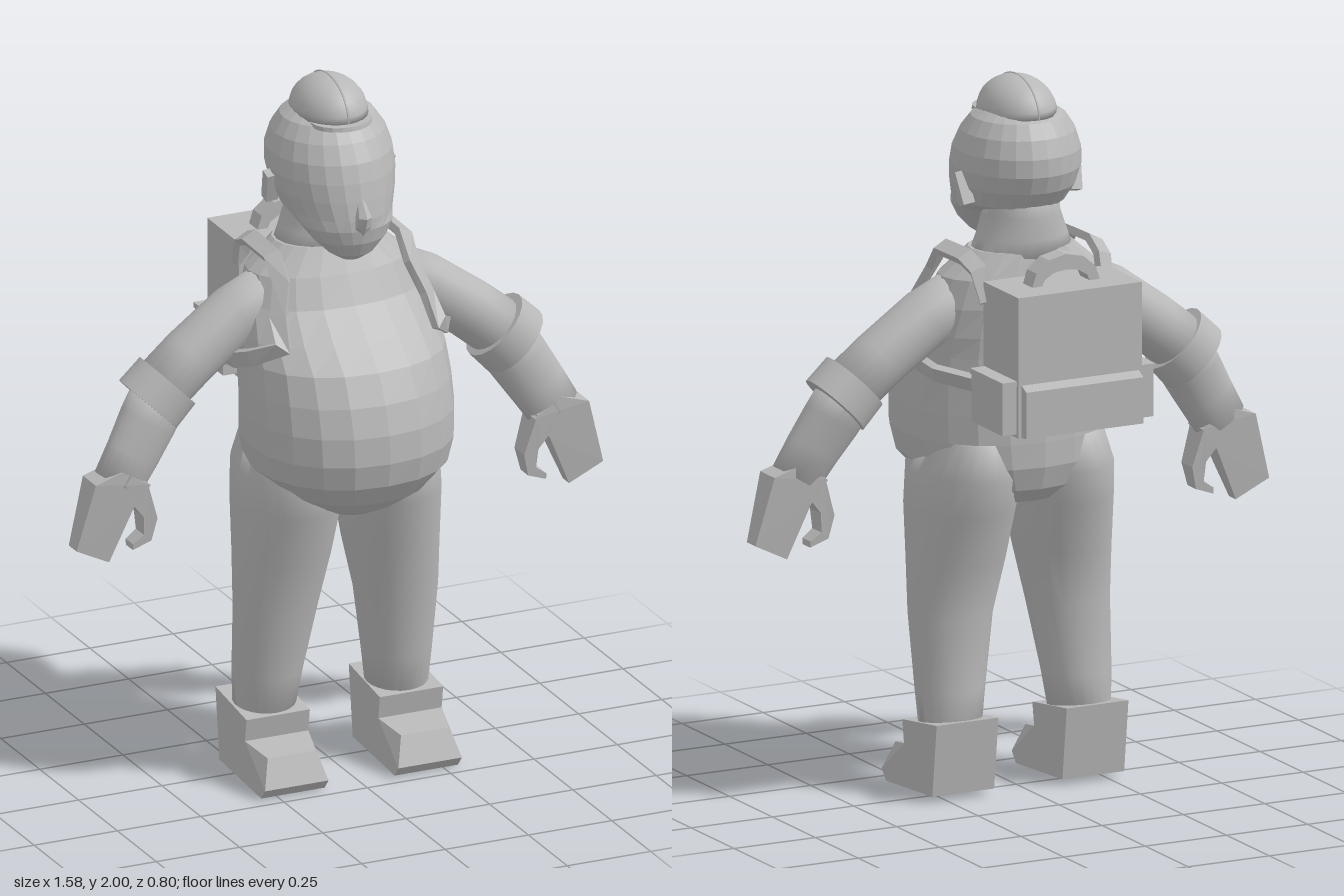
import * as THREE from 'three';

const V = (x, y, z) => new THREE.Vector3(x, y, z);

// Skin between rings of points, with closed ends
function loft(rings, smooth = false) {
  const n = rings[0].length, pos = [], idx = [];
  rings.forEach(r => r.forEach(p => pos.push(p.x, p.y, p.z)));
  for (let r = 0; r < rings.length - 1; r++) {
    for (let i = 0; i < n; i++) {
      const a = r * n + i, b = r * n + (i + 1) % n;
      idx.push(a, a + n, b, b, a + n, b + n);
    }
  }
  const last = (rings.length - 1) * n;
  for (let i = 1; i < n - 1; i++) {
    idx.push(0, i, i + 1, last, last + i + 1, last + i);
  }
  let g = new THREE.BufferGeometry();
  g.setAttribute('position', new THREE.Float32BufferAttribute(pos, 3));
  g.setIndex(idx);
  if (smooth) g.computeVertexNormals();
  g = g.toNonIndexed();
  if (!smooth) g.computeVertexNormals();
  return g;
}

// Stack of oval rings: each row is [y, half width, front z, back z, centre x]
function stack(rows, sides, power = 2, smooth = false) {
  const bend = c => Math.sign(c) * Math.pow(Math.abs(c), 2 / power);
  return loft(rows.map(([y, w, zf, zb, cx = 0]) => Array.from({ length: sides }, (_, i) => {
    const t = (i / sides) * Math.PI * 2;
    return V(cx + w * bend(Math.cos(t)), y, (zf + zb) / 2 + (zf - zb) / 2 * bend(Math.sin(t)));
  })), smooth);
}

// Tapered limb along a path in the xy plane: rows are [x, y, z, in-plane radius, z radius]
function limb(rows, sides) {
  return loft(rows.map(([x, y, z, r, rz], k) => {
    const a = rows[Math.max(0, k - 1)], b = rows[Math.min(rows.length - 1, k + 1)];
    const u = V(b[0] - a[0], b[1] - a[1], 0).normalize().cross(V(0, 0, 1));
    return Array.from({ length: sides }, (_, i) => {
      const t = (i / sides) * Math.PI * 2;
      return V(x, y, z).addScaledVector(u, r * Math.cos(t)).add(V(0, 0, rz * Math.sin(t)));
    });
  }), true);
}

// Flat strap that follows a path and faces away from a centre
function ribbon(points, centre, width, thick) {
  return loft(points.map((p, k) => {
    const d = points[Math.min(points.length - 1, k + 1)].clone().sub(points[Math.max(0, k - 1)]).normalize();
    const out = p.clone().sub(centre);
    out.addScaledVector(d, -out.dot(d)).normalize();
    const side = d.clone().cross(out);
    return [[1, 1], [-1, 1], [-1, -1], [1, -1]].map(([s, o]) =>
      p.clone().addScaledVector(side, s * width / 2).addScaledVector(out, o * thick / 2));
  }));
}

function extrude(points, depth) {
  const shape = new THREE.Shape(points.map(p => new THREE.Vector2(p[0], p[1])));
  return new THREE.ExtrudeGeometry(shape, { depth, bevelEnabled: false });
}

function reshape(g, rule) {
  const p = g.attributes.position, v = V(0, 0, 0);
  for (let i = 0; i < p.count; i++) {
    rule(v.fromBufferAttribute(p, i));
    p.setXYZ(i, v.x, v.y, v.z);
  }
  g.computeVertexNormals();
  return g;
}

// Copy to the other side, with the corner order turned round
function mirrored(geometry) {
  const g = geometry.index ? geometry.toNonIndexed() : geometry.clone();
  g.scale(-1, 1, 1);
  for (const at of Object.values(g.attributes)) {
    const s = at.itemSize, a = at.array;
    for (let i = 0; i < at.count; i += 3) {
      for (let k = 0; k < s; k++) {
        const j = (i + 1) * s + k;
        [a[j], a[j + s]] = [a[j + s], a[j]];
      }
    }
  }
  return g;
}

export function createModel() {
  const model = new THREE.Group();
  model.name = 'hiker';
  const grey = new THREE.MeshStandardMaterial({ color: 0xb8b8b8 });
  grey.name = 'plain grey';
  const add = (name, g) => {
    const m = new THREE.Mesh(g, grey);
    m.name = name;
    model.add(m);
  };
  const pair = (name, g) => {
    add('left' + name, g);
    add('right' + name, mirrored(g));
  };
  const box = (w, h, d, x, y, z) => new THREE.BoxGeometry(w, h, d).translate(x, y, z);

  // Torso with a big belly
  add('torso', stack([
    [0.79, 0.08, 0.22, 0.02], [0.82, 0.145, 0.28, -0.1], [0.865, 0.215, 0.34, -0.15],
    [0.93, 0.275, 0.385, -0.17], [1.0, 0.29, 0.4, -0.17], [1.08, 0.292, 0.393, -0.165],
    [1.16, 0.29, 0.367, -0.16], [1.24, 0.285, 0.325, -0.155], [1.3, 0.28, 0.255, -0.155],
    [1.38, 0.262, 0.168, -0.155], [1.46, 0.235, 0.125, -0.15], [1.53, 0.15, 0.085, -0.135]
  ], 20, 2.2));

  // Neck and head
  add('neck', stack([[1.5, 0.155, 0.09, -0.14], [1.56, 0.13, 0.08, -0.14],
    [1.62, 0.108, 0.08, -0.138], [1.7, 0.1, 0.08, -0.13]], 20, 2, true));
  add('head', stack([
    [1.518, 0.03, 0.17, 0.115], [1.54, 0.065, 0.2, 0.08], [1.58, 0.105, 0.22, 0.04],
    [1.62, 0.133, 0.228, -0.02], [1.65, 0.148, 0.227, -0.13], [1.7, 0.166, 0.216, -0.172],
    [1.75, 0.175, 0.203, -0.19], [1.8, 0.173, 0.185, -0.188], [1.85, 0.157, 0.155, -0.17],
    [1.89, 0.13, 0.12, -0.142], [1.92, 0.085, 0.06, -0.09], [1.935, 0.03, 0.02, -0.03]
  ], 24));
  add('nose', stack([[1.6, 0.02, 0.222, 0.16], [1.63, 0.032, 0.24, 0.16],
    [1.662, 0.026, 0.251, 0.16], [1.715, 0.012, 0.21, 0.16]], 8));
  pair('Ear', new THREE.BoxGeometry(0.035, 0.092, 0.032)
    .rotateX(0.35).rotateZ(-0.12).translate(0.17, 1.7, -0.01));

  // Cap with a short brim and a centre seam
  add('cap', stack(Array.from({ length: 9 }, (_, i) => {
    const t = i / 8 * Math.PI * 0.49, c = Math.cos(t);
    return [1.897 + 0.1 * Math.sin(t), 0.104 * c, 0.13 * c, -0.134 * c];
  }), 24, 2, true));
  add('capBrim', stack([[1.886, 0.088, 0.155, 0], [1.898, 0.088, 0.152, 0]], 20));
  add('capSeam', new THREE.TorusGeometry(1, 0.02, 4, 24, Math.PI)
    .rotateY(Math.PI / 2).scale(0.15, 0.1, 0.132).translate(0, 1.8985, -0.002));

  // Arms with rolled sleeves
  pair('UpperArm', limb([[0.17, 1.4, 0, 0.08, 0.075], [0.28, 1.345, 0, 0.084, 0.08],
    [0.42, 1.245, 0.005, 0.084, 0.08], [0.53, 1.155, 0.012, 0.085, 0.078]], 20));
  pair('Cuff', new THREE.CylinderGeometry(0.105, 0.108, 0.085, 20).scale(1, 1, 0.82)
    .rotateZ(Math.PI / 4).translate(0.52, 1.16, 0.015));
  pair('Forearm', limb([[0.505, 1.165, 0.015, 0.088, 0.07], [0.555, 1.088, 0.026, 0.087, 0.062],
    [0.607, 1.006, 0.04, 0.082, 0.051], [0.655, 0.93, 0.047, 0.077, 0.043]], 20));

  // Hands, thinner towards the fingertips
  const thin = v => { v.z = 0.048 + (v.z - 0.048) * (0.45 + 0.55 * Math.min(1, (v.y - 0.7) / 0.22)); };
  const hand = pts => reshape(extrude(pts, 0.084).translate(0, 0, 0.006), thin);
  pair('Palm', hand([[0.575, 0.925], [0.625, 0.86], [0.69, 0.71], [0.79, 0.76], [0.74, 0.95], [0.66, 0.975]]));
  pair('Thumb', hand([[0.585, 0.935], [0.55, 0.82], [0.565, 0.755], [0.62, 0.735],
    [0.62, 0.752], [0.588, 0.775], [0.592, 0.83], [0.64, 0.89]]));

  // Legs
  pair('Leg', stack([[0.16, 0.084, 0.088, -0.075, 0.2], [0.3, 0.099, 0.11, -0.07, 0.194],
    [0.5, 0.12, 0.148, -0.06, 0.18], [0.65, 0.135, 0.185, -0.095, 0.163],
    [0.8, 0.146, 0.225, -0.135, 0.15], [0.9, 0.143, 0.245, -0.165, 0.143],
    [1.0, 0.11, 0.19, -0.14, 0.14]], 24, 2, true));

  // Ankle boots: side outline drawn as (z, y), toes slightly narrower
  const boot = extrude([[-0.07, 0.02], [0.2, 0.003], [0.225, 0.03], [0.19, 0.11],
    [0.095, 0.13], [0.105, 0.195], [-0.095, 0.222]], 0.19).rotateY(-Math.PI / 2).translate(0.295, 0, 0);
  pair('Boot', reshape(boot, v => {
    if (v.z > 0.15 && v.y > 0.05) v.x = 0.2 + (v.x - 0.2) * 0.75;
    if (v.y < 0.021) v.y = Math.max(0, v.y - 0.003);
  }));

  // Backpack with pockets and a carrying handle
  add('backpack', box(0.38, 0.395, 0.205, 0, 1.278, -0.27));
  add('backPocket', extrude([[-0.36, 1.235], [-0.4, 1.215], [-0.4, 1.085], [-0.36, 1.08]], 0.36)
    .rotateY(-Math.PI / 2).translate(0.18, 0, 0));
  pair('SidePocket', box(0.045, 0.14, 0.18, 0.21, 1.16, -0.27));
  pair('PocketFlap', box(0.05, 0.015, 0.19, 0.21, 1.232, -0.27));
  const arc = (rx, ry, flip) => Array.from({ length: 7 }, (_, i) => {
    const t = Math.PI * (flip ? 6 - i : i) / 6;
    return [rx * Math.cos(t), 1.47 + ry * Math.sin(t)];
  });
  add('handle', extrude([...arc(0.105, 0.088, false), ...arc(0.075, 0.045, true)], 0.055)
    .translate(0, 0, -0.29));

  // Shoulder straps, over the shoulder and back under the arm
  pair('Strap', ribbon([V(0.18, 1.42, -0.18), V(0.19, 1.5, -0.14), V(0.197, 1.525, -0.08),
    V(0.197, 1.522, 0.06), V(0.195, 1.46, 0.115), V(0.222, 1.38, 0.155), V(0.233, 1.31, 0.21),
    V(0.29, 1.265, 0.13), V(0.307, 1.235, 0.05), V(0.29, 1.21, -0.08), V(0.2, 1.19, -0.19)],
  V(0.08, 1.3, 0), 0.046, 0.022));

  return model;
}
